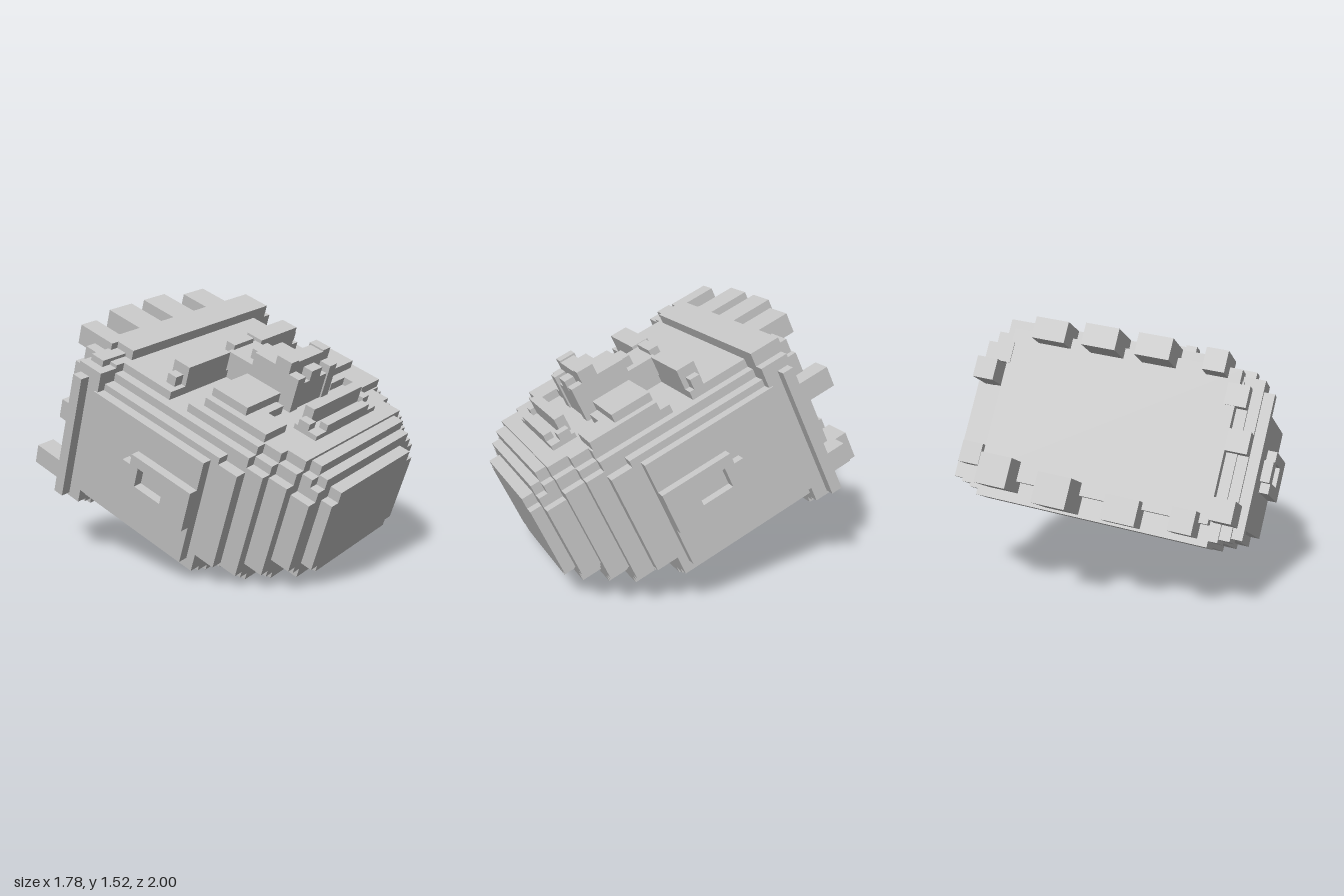
import * as THREE from 'three';

export function createModel() {
  const model = new THREE.Group();
  model.name = 'blockHead';
  const stone = new THREE.MeshStandardMaterial({ color: 0xc8c8c8 });
  stone.name = 'grey stone';

  // The head leans far back and rolls slightly; inside, x = across, y = chin to crown, z = out of the face
  const head = new THREE.Group();
  head.name = 'head';
  head.rotation.set(THREE.MathUtils.degToRad(-68), 0, THREE.MathUtils.degToRad(7.6), 'ZXY');
  head.position.set(0.106, 0.014, 0);
  model.add(head);

  const block = (name, x0, x1, y0, y1, z0, z1) => {
    const mesh = new THREE.Mesh(new THREE.BoxGeometry(x1 - x0, y1 - y0, z1 - z0), stone);
    mesh.position.set((x0 + x1) / 2, (y0 + y1) / 2, (z0 + z1) / 2);
    mesh.name = name;
    head.add(mesh);
  };
  const wide = (name, half, ...rest) => block(name, -half, half, ...rest);

  // Skull: nested blocks that give stepped corners [half width, bottom, back, front, top]
  const top = 0.72;
  for (const [half, y0, z0, z1, y1 = top] of [
    [0.36, -0.70, 0.41, 0.945],
    [0.42, -0.70, 0.45, 0.88],
    [0.42, -0.63, 0.35, 1.01],
    [0.48, -0.63, 0.41, 0.95],
    [0.54, -0.63, 0.45, 0.89],
    [0.42, -0.575, 0.40, 1.065, 0.21],
    [0.48, -0.575, 0.40, 1.00],
    [0.48, -0.51, 0.29, 1.08, 0.21],
    [0.54, -0.51, 0.33, 1.02],
    [0.60, -0.51, 0.37, 0.95],
    [0.54, -0.39, 0.225, 1.08, 0.21],
    [0.60, -0.39, 0.27, 1.02],
    [0.66, -0.39, 0.31, 0.97],
    [0.60, -0.28, 0.30, 1.08, 0.21],
    [0.60, 0.34, 0.30, 1.08],
    [0.66, -0.28, 0.30, 1.03],
    [0.73, -0.28, 0.33, 0.94],
    [0.58, -0.15, 0.15, 1.02],
    [0.66, -0.15, 0.185, 1.02],
    [0.73, -0.15, 0.215, 0.98],
    [0.79, -0.10, 0.275, 0.94],
  ]) wide('skull', half, y0, y1, z0, z1);

  // Crown: raised inner top, rim around it, lower side ledges, one front corner worn down
  const rim = 0.88;
  wide('crownTop', 0.66, 0.70, 0.945, 0.24, 1.08);
  wide('crownBand', 0.67, 0.70, rim, 0.125, 1.03);
  block('crownFront', -0.54, 0.72, 0.70, rim, 0.16, 1.14);
  block('wornCorner', -0.72, -0.54, 0.75, 0.84, 0.60, 1.10);
  wide('crownBand', 0.72, 0.70, rim, 0.16, 1.00);
  wide('crownLedge', 0.78, 0.70, 0.865, 0.18, 1.06);
  wide('crownLedge', 0.84, 0.78, 0.845, 0.20, 1.00);

  // Crown teeth [left, right, top, back, front]
  for (const [x0, x1, y1, z0, z1] of [
    [-0.59, -0.47, 1.07, 1.02, 1.14],
    [-0.30, -0.11, 1.13, 1.02, 1.14],
    [0.00, 0.19, 1.13, 1.02, 1.14],
    [0.31, 0.50, 1.07, 1.02, 1.14],
    [0.67, 0.79, 1.05, 0.75, 0.87],
    [0.64, 0.70, 0.95, 0.88, 1.00],
    [0.66, 0.78, 0.98, 0.28, 0.40],
    [0.43, 0.61, 1.09, 0.18, 0.35],
    [0.06, 0.25, 1.135, 0.14, 0.31],
    [-0.295, -0.105, 1.02, 0.14, 0.28],
    [-0.61, -0.48, 1.055, 0.16, 0.29],
    [-0.80, -0.68, 1.065, 0.26, 0.38],
    [-0.78, -0.66, 0.95, 0.64, 0.76],
    [-0.72, -0.60, 0.95, 0.88, 1.00],
  ]) block('crownTooth', x0, x1, 0.82, y1, z0, z1);

  // Features mirrored about the face line
  const mid = 0.03;
  const pair = (name, a, b, ...rest) => {
    block(name, mid + a, mid + b, ...rest);
    block(name, mid - b, mid - a, ...rest);
  };
  const centre = (name, half, ...rest) => block(name, mid - half, mid + half, ...rest);

  pair('brow', 0.15, 0.51, 0.34, 0.45, 1.0, 1.2);
  pair('browEnd', 0.51, 0.57, 0.37, 0.43, 1.0, 1.14);
  pair('eye', 0.22, 0.52, -0.09, 0.15, 1.0, 1.18);
  pair('eyeCorner', 0.20, 0.27, 0.09, 0.15, 1.0, 1.16);
  pair('cheek', 0.38, 0.57, -0.27, 0.15, 1.0, 1.13);
  pair('cheek', 0.24, 0.40, -0.14, -0.05, 1.0, 1.13);

  // Nose: stepped bridge, broad tip and two nostril notches on the underside
  centre('noseRoot', 0.09, 0.36, 0.42, 1.0, 1.22);
  centre('noseBridge', 0.13, 0.12, 0.37, 1.0, 1.19);
  centre('noseBridge', 0.13, 0.0, 0.19, 1.0, 1.27);
  centre('noseBridge', 0.07, 0.0, 0.25, 1.0, 1.25);
  centre('noseTip', 0.13, -0.09, 0.0, 1.0, 1.35);
  pair('noseWing', 0.12, 0.19, -0.09, 0.01, 1.0, 1.36);
  pair('noseWing', 0.12, 0.19, -0.16, -0.09, 1.0, 1.29);
  centre('noseBase', 0.19, -0.15, -0.05, 1.0, 1.24);
  centre('noseDivider', 0.05, -0.15, -0.05, 1.0, 1.30);

  // Mouth
  centre('mouthPad', 0.30, -0.42, -0.27, 1.0, 1.11);
  centre('upperLip', 0.24, -0.33, -0.27, 1.0, 1.21);
  centre('lowerLip', 0.21, -0.42, -0.37, 1.0, 1.15);
  pair('mouthCorner', 0.24, 0.30, -0.36, -0.29, 1.0, 1.15);

  // Ears: frames around a recess, with a bump on the upper end
  for (const side of [-1, 1]) {
    const ear = (...r) => block('ear', Math.min(side * 0.78, side * 0.845), Math.max(side * 0.78, side * 0.845), ...r);
    ear(-0.10, 0.08, 0.515, 0.765);
    ear(0.27, 0.33, 0.515, 0.765);
    ear(0.08, 0.27, 0.515, 0.585);
    ear(0.08, 0.27, 0.705, 0.765);
    ear(0.33, 0.385, 0.575, 0.70);
  }
  return model;
}
